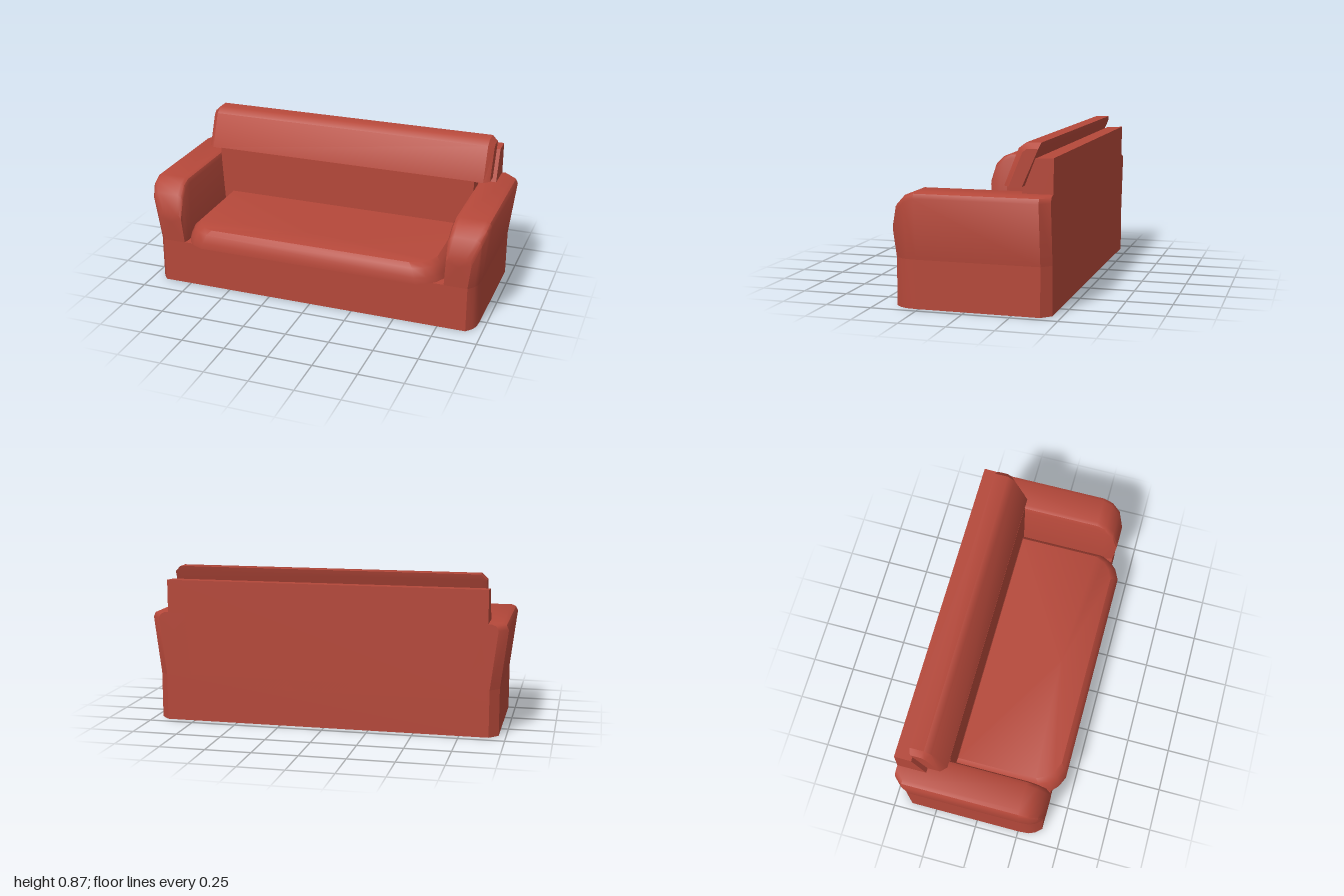
import * as THREE from 'three';
import { toCreasedNormals } from 'three/addons/utils/BufferGeometryUtils.js';

// Skin a stack of equal-length closed rings and cap both ends; outward winding is ensured by volume.
function loft(rings, crease = 0.7) {
  const V = (p) => new THREE.Vector3(...p);
  const R = rings.map((r) => r.map(V));
  const n = R[0].length;
  const tris = [];
  for (let i = 0; i < R.length - 1; i++) {
    for (let j = 0; j < n; j++) {
      const k = (j + 1) % n;
      tris.push([R[i][j], R[i][k], R[i + 1][k]], [R[i][j], R[i + 1][k], R[i + 1][j]]);
    }
  }
  const cap = (ring, flip) => {
    const c = new THREE.Vector3();
    ring.forEach((p) => c.addScaledVector(p, 1 / n));
    ring.forEach((p, j) => {
      const q = ring[(j + 1) % n];
      tris.push(flip ? [c, q, p] : [c, p, q]);
    });
  };
  cap(R[0], true);
  cap(R[R.length - 1], false);
  let volume = 0;
  tris.forEach(([a, b, c]) => { volume += a.dot(b.clone().cross(c)); });
  const pts = tris.flatMap((t) => (volume < 0 ? [t[0], t[2], t[1]] : t));
  return toCreasedNormals(new THREE.BufferGeometry().setFromPoints(pts), crease);
}

// Complete a right-half plan outline [x, z] with its mirror image
const mirrorPlan = (half) => [...half, ...half.map(([x, z]) => [-x, z]).reverse()];

export function createModel() {
  const sofa = new THREE.Group();
  sofa.name = 'sofa';
  const fabric = new THREE.MeshStandardMaterial({ color: 0xb5483a });
  fabric.name = 'red fabric';
  const add = (name, geometry) => {
    const mesh = new THREE.Mesh(geometry, fabric);
    mesh.name = name;
    sofa.add(mesh);
  };

  // Base with softened vertical corners
  const plan = mirrorPlan([
    [0.91, -0.45], [0.96, -0.4], [0.96, 0.26], [0.955, 0.315], [0.94, 0.35], [0.91, 0.385],
  ]);
  add('base', loft([0, 0.262].map((y) => plan.map(([x, z]) => [x, y, z]))));

  // Flared arms: sections from back to front as [z, top height, outer inset, inner inset]
  const stations = [
    [-0.45, 0.617, 0.05, 0], [-0.4, 0.617, 0, 0], [0.26, 0.617, 0, 0],
    [0.315, 0.595, 0.005, 0], [0.365, 0.545, 0.02, 0], [0.4, 0.44, 0.05, 0.008],
  ];
  for (const side of [1, -1]) {
    const rings = stations.map(([z, top, out, inn]) => {
      const outer = (y) => 0.96 + 0.04 * Math.min(1, (y - 0.26) / 0.32) - out;
      const inner = (y) => 0.77 + 0.02 * Math.min(1, (y - 0.26) / 0.32) + inn;
      const section = [
        [inner(0.26), 0.26], [outer(0.26), 0.26], [outer(top - 0.035), top - 0.035],
        [outer(top) - 0.012, top - 0.01], [outer(top) - 0.035, top],
        [inner(top) + 0.03, top], [inner(top) + 0.01, top - 0.008], [inner(top - 0.03), top - 0.03],
      ];
      // The front face leans slightly forward towards the top
      return section.map(([x, y]) => [
        side * x, y, z - (z > 0.35 ? 0.015 * Math.max(0, (0.44 - y) / 0.18) : 0),
      ]);
    });
    add(side > 0 ? 'leftArm' : 'rightArm', loft(rings));
  }

  // Rear frame with a sloping front
  const frame = [[-0.45, 0.2], [-0.45, 0.8], [-0.355, 0.795], [-0.285, 0.617], [-0.285, 0.2]];
  // Only the part above the arms is full width
  add('backFrame', loft([-0.895, 0.895].map((x) => frame.map(([z, y]) => [x, y, z])), 0.3));

  // Back cushion: upright lower panel between the arms
  add('lowerBackCushion', loft([[0.26, 0.77], [0.58, 0.79], [0.648, 0.79]].map(([y, x]) =>
    [[x, y, -0.178], [x, y, -0.282], [-x, y, -0.282], [-x, y, -0.178]]), 0.3));

  // Back cushion: leaning upper part with chamfered ends
  const full = [[-0.178, 0.646], [-0.255, 0.84], [-0.295, 0.87], [-0.372, 0.87], [-0.364, 0.84], [-0.28, 0.646]];
  const ends = [[-0.21, 0.646], [-0.282, 0.822], [-0.305, 0.84], [-0.364, 0.84], [-0.36, 0.83], [-0.28, 0.646]];
  const slices = [[-0.875, ends], [-0.843, full], [0.843, full], [0.875, ends]];
  add('upperBackCushion', loft(slices.map(([x, p]) => p.map(([z, y]) => [x, y, z])), 0.75));

  // Seat cushion: layers as [height, side inset, front inset]
  const seat = mirrorPlan([
    [0.765, -0.18], [0.765, 0.33], [0.738, 0.385], [0.7, 0.422], [0.64, 0.45],
  ]);
  const layers = [[0.272, 0, 0], [0.308, 0.01, 0], [0.355, 0.028, 0.018], [0.378, 0.052, 0.04]];
  add('seatCushion', loft(layers.map(([y, dx, dz]) => seat.map(([x, z]) => [
    x - Math.sign(x) * dx, y, z > 0 ? z - dz : z + dz * 0.3,
  ])), 0.75));

  return sofa;
}
